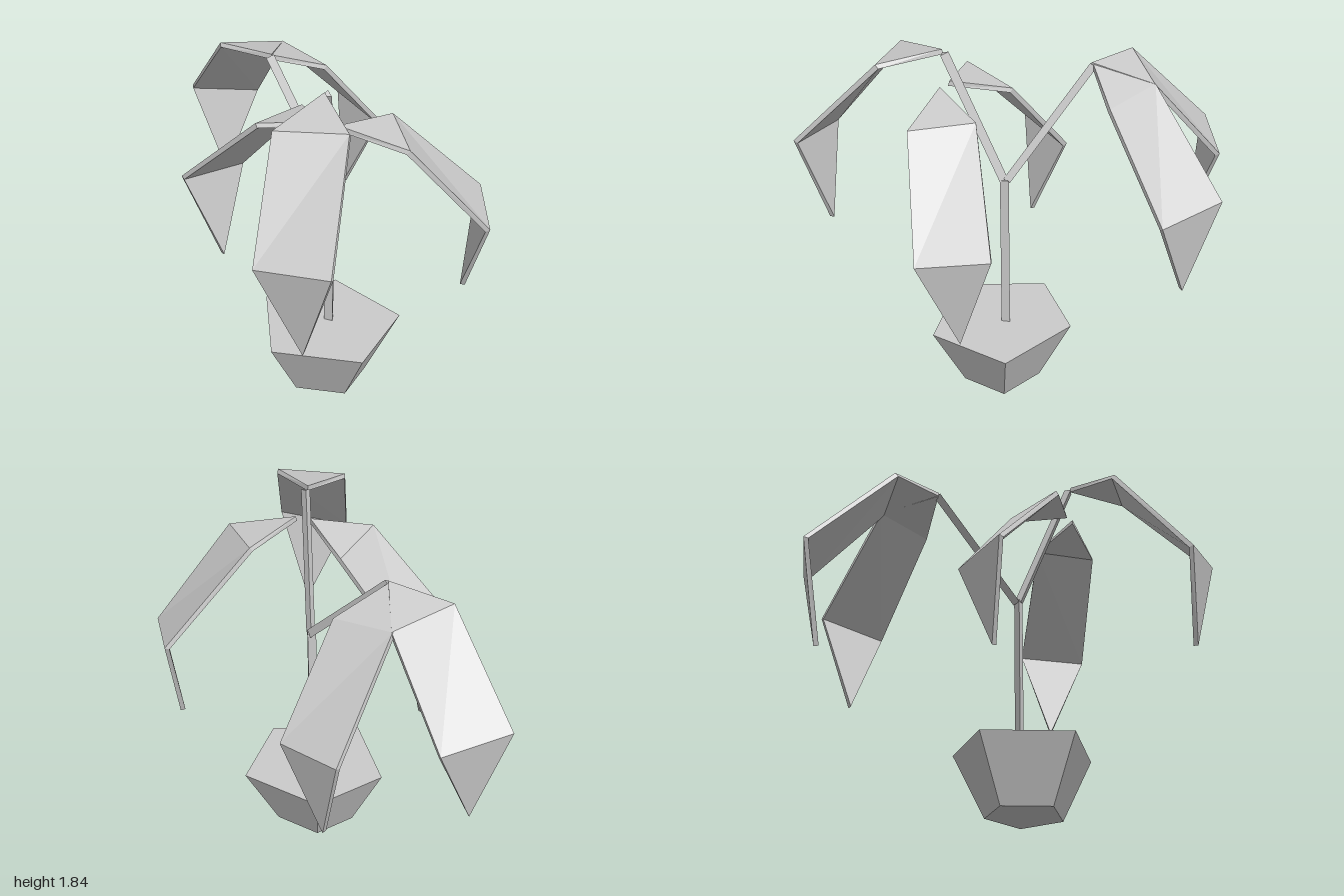
import * as THREE from 'three';

const material = new THREE.MeshStandardMaterial({ color: 0xcccccc, flatShading: true });

// Faceted geometry from corner points and triangle indices
function faceted(points, triangles) {
  const geo = new THREE.BufferGeometry();
  geo.setAttribute('position', new THREE.Float32BufferAttribute(points.flat(), 3));
  geo.setIndex(triangles.flat());
  const flat = geo.toNonIndexed();
  flat.computeVertexNormals();
  return flat;
}

// Closed solid between two rings of equal length (rings turn from +x towards +z)
function loft(bottom, top) {
  const n = bottom.length, tris = [];
  for (let i = 0; i < n; i++) {
    const j = (i + 1) % n;
    tris.push([i, n + i, j], [j, n + i, n + j]);
    if (i > 0 && i < n - 1) tris.push([0, i, j], [n, n + j, n + i]);
  }
  return faceted([...bottom, ...top], tris);
}

// Three-sided twig between two points
function twig(from, to, radius) {
  const a = new THREE.Vector3(...from), b = new THREE.Vector3(...to);
  const dir = b.clone().sub(a);
  const geo = new THREE.CylinderGeometry(radius, radius, dir.length(), 3);
  geo.applyQuaternion(new THREE.Quaternion().setFromUnitVectors(
    new THREE.Vector3(0, 1, 0), dir.clone().normalize()));
  const mid = a.add(b).multiplyScalar(0.5);
  return geo.translate(mid.x, mid.y, mid.z);
}

// Folded leaf: base, left/right shoulder, left/right knee, tip; thickened inwards
function leaf(points, thickness = 0.025) {
  const tris = [[0, 1, 2], [1, 3, 2], [2, 3, 4], [3, 5, 4]];
  const outline = [0, 1, 3, 5, 4, 2];
  const sheet = new THREE.BufferGeometry();
  sheet.setAttribute('position', new THREE.Float32BufferAttribute(points.flat(), 3));
  sheet.setIndex(tris.flat());
  sheet.computeVertexNormals();
  const nrm = sheet.attributes.normal;
  const inner = points.map((p, i) => [
    p[0] - nrm.getX(i) * thickness,
    p[1] - nrm.getY(i) * thickness,
    p[2] - nrm.getZ(i) * thickness]);
  const all = [...tris, ...tris.map(([a, b, c]) => [a + 6, c + 6, b + 6])];
  outline.forEach((a, i) => {
    const b = outline[(i + 1) % outline.length];
    all.push([b, a, a + 6], [b, a + 6, b + 6]);
  });
  return faceted([...points, ...inner], all);
}

export function createModel() {
  const model = new THREE.Group();
  model.name = 'pottedPlant';
  const add = (name, geo, parent = model) => {
    const mesh = new THREE.Mesh(geo, material);
    mesh.name = name;
    parent.add(mesh);
  };

  // Five-sided pot tapering to its foot
  const rim = [[0.315, 0.03], [0.26, 0.48], [-0.175, 0.54], [-0.38, 0.12], [-0.03, -0.18]];
  const taper = 0.555, cx = -0.01, cz = 0.2;
  add('pot', loft(
    rim.map(([x, z]) => [cx + (x - cx) * taper, 0, cz + (z - cz) * taper]),
    rim.map(([x, z]) => [x, 0.335, z])));

  // Three-sided stem
  const section = [[0.0, 0.178], [0.05, 0.2], [0.012, 0.222]];
  add('stem', loft(section.map(([x, z]) => [x, 0.33, z]), section.map(([x, z]) => [x, 1.175, z])));

  // Two forking branches
  add('rightBranch', twig([0.015, 1.17, 0.2], [-0.225, 1.82, 0.335], 0.025));
  add('backBranch', twig([0.025, 1.17, 0.195], [0.17, 1.655, -0.285], 0.025));

  // Five drooping leaves
  const leaves = new THREE.Group();
  leaves.name = 'leaves';
  model.add(leaves);
  const shapes = {
    rightLeaf: [[-0.24, 1.835, 0.33], [-0.56, 1.77, 0.28], [-0.42, 1.795, 0.59],
      [-0.91, 1.3, 0.435], [-0.82, 1.34, 0.785], [-0.795, 0.84, 0.62]],
    frontLeaf: [[-0.21, 1.67, 0.385], [-0.11, 1.605, 0.71], [0.1, 1.625, 0.48],
      [0.18, 1.135, 0.995], [0.45, 1.17, 0.785], [0.29, 0.675, 0.83]],
    backRightLeaf: [[-0.22, 1.67, 0.31], [-0.04, 1.595, 0.06], [-0.36, 1.63, 0.03],
      [-0.02, 1.135, -0.34], [-0.36, 1.17, -0.44], [-0.22, 0.675, -0.32]],
    backLeaf: [[0.17, 1.67, -0.28], [0.45, 1.59, -0.42], [0.175, 1.635, -0.61],
      [0.645, 1.135, -0.75], [0.39, 1.175, -1.0], [0.45, 0.675, -0.835]],
    leftLeaf: [[0.17, 1.665, -0.29], [0.41, 1.56, -0.115], [0.45, 1.59, -0.425],
      [0.8, 1.09, -0.03], [0.91, 1.13, -0.365], [0.8, 0.63, -0.24]],
  };
  for (const [name, points] of Object.entries(shapes)) add(name, leaf(points), leaves);

  return model;
}
